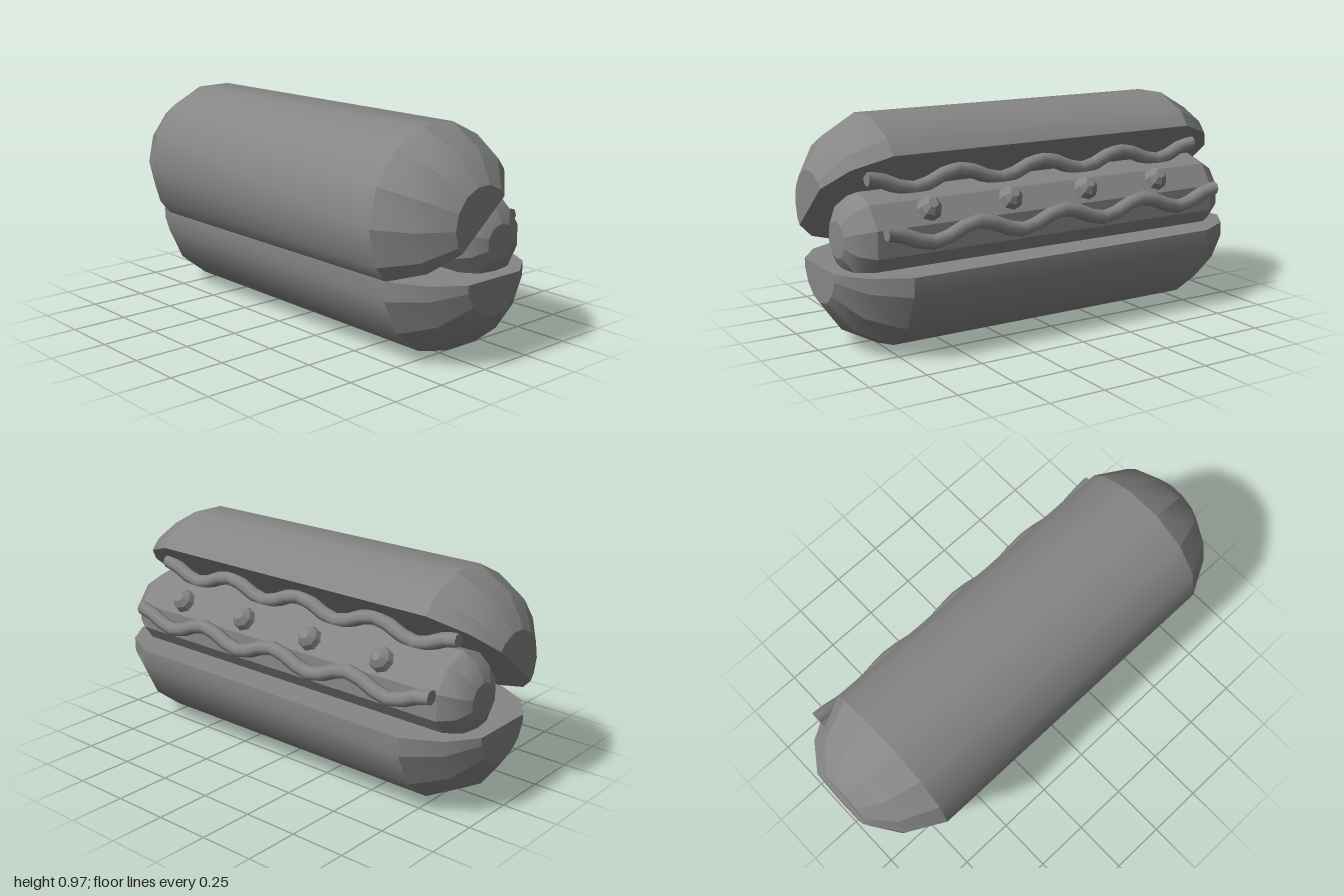
import * as THREE from 'three';
import { mergeGeometries, toCreasedNormals } from 'three/addons/utils/BufferGeometryUtils.js';

const material = new THREE.MeshStandardMaterial({ color: 0x868686 });

function surface(points, index, crease) {
  const geometry = new THREE.BufferGeometry();
  geometry.setAttribute('position', new THREE.Float32BufferAttribute(points.flat(), 3));
  geometry.setIndex(index);
  return toCreasedNormals(geometry, crease);
}

// Skin over rows of points that follow each other towards +x
function skin(rows, closed, crease) {
  const n = rows[0].length, index = [];
  for (let i = 0; i < rows.length - 1; i++) {
    for (let j = 0; j < (closed ? n : n - 1); j++) {
      const a = i * n + j, b = i * n + (j + 1) % n;
      index.push(a, a + n, b, b, a + n, b + n);
    }
  }
  return surface(rows.flat(), index, crease);
}

// Flat end face, looking towards -x or +x
function cap(ring, direction) {
  const index = [];
  for (let j = 1; j < ring.length - 1; j++) {
    index.push(0, ...(direction < 0 ? [j, j + 1] : [j + 1, j]));
  }
  return surface(ring, index, 0.1);
}

// Straight body with ends rounded in separate wedges; stations are [x, radius], tip first
function roll(section, stations, crease) {
  const ring = (x, r) => section.map(([z, y]) => [x, y * r, z * r]);
  const left = [...stations].reverse().map(([x, r]) => ring(x, r));
  const right = stations.map(([x, r]) => ring(-x, r));
  const parts = [
    skin([right.at(-1), left[0]], true, crease),
    cap(right[0], -1),
    cap(left.at(-1), 1),
  ];
  for (const rings of [right, left]) {
    section.forEach((_, j) => {
      const wedge = rings.map((points) => [points[j], points[(j + 1) % points.length]]);
      parts.push(skin(wedge, false, 1));
    });
  }
  return mergeGeometries(parts);
}

// Half of a 14-sided outline, cut through the middle of two sides
function halfSection(tilt) {
  const step = Math.PI / 7, points = [];
  const add = (angle, r) => points.push([r * Math.cos(angle + tilt), r * Math.sin(angle + tilt)]);
  add(0, Math.cos(step / 2));
  for (let k = 0; k < 7; k++) add(step * (k + 0.5), 1);
  add(Math.PI, Math.cos(step / 2));
  return points;
}

function polygon(sides) {
  return Array.from({ length: sides }, (_, i) => {
    const a = Math.PI / 2 + i * 2 * Math.PI / sides;
    return [Math.cos(a), Math.sin(a)];
  });
}

// Wavy line of sauce: four waves, crest at both ends
function sauceGeometry() {
  const rings = [], steps = 24, x0 = -0.85, x1 = 0.83, r = 0.032;
  const amplitude = 0.031, k = 8 * Math.PI / (x1 - x0);
  const section = polygon(8);
  for (let i = 0; i <= steps; i++) {
    const x = x0 + (x1 - x0) * i / steps;
    const y = amplitude * Math.cos(k * (x1 - x));
    const slope = amplitude * k * Math.sin(k * (x1 - x));
    const length = Math.hypot(1, slope);
    rings.push(section.map(([z, up]) => [
      x - r * up * slope / length, y + r * up / length, z * r,
    ]));
  }
  return mergeGeometries([skin(rings, true, 0.9), cap(rings[0], -1), cap(rings[steps], 1)]);
}

export function createModel() {
  const group = new THREE.Group();
  group.name = 'hotDog';
  const add = (name, geometry, y, z) => {
    const mesh = new THREE.Mesh(geometry, material);
    mesh.name = name;
    mesh.position.set(0, y, z);
    group.add(mesh);
    return mesh;
  };

  // Bun halves
  const bunStations = [[1, 0.157], [0.91, 0.287], [0.75, 0.374]];
  add('bottomBun', roll(halfSection(Math.PI), bunStations, 0.46), 0.375, -0.041);
  add('topBun', roll(halfSection(-0.688), bunStations, 0.46), 0.606, 0.035);

  // Sausage
  const sausageStations = [[0.955, 0.078], [0.922, 0.146], [0.855, 0.187]];
  add('sausage', roll(polygon(10), sausageStations, 0.46), 0.497, -0.125);

  // Sauce lines
  const sauce = sauceGeometry();
  add('upperSauce', sauce, 0.708, -0.156);
  add('lowerSauce', sauce, 0.518, -0.331);

  // Faceted dollops pointing out of the sausage
  const profile = [[0, -0.055], [0.025, -0.05], [0.047, -0.028], [0.056, 0],
    [0.047, 0.028], [0.022, 0.053], [0, 0.053]].map(([x, y]) => new THREE.Vector2(x, y));
  const dollop = toCreasedNormals(new THREE.LatheGeometry(profile, 8), 0.3);
  const outward = new THREE.Vector3(0, 0.112, -0.137).normalize();
  for (let i = 0; i < 4; i++) {
    const mesh = add('dollop', dollop, 0.61, -0.262);
    mesh.position.x = -0.553 + 0.386 * i;
    mesh.quaternion.setFromUnitVectors(new THREE.Vector3(0, 1, 0), outward);
  }
  return group;
}
